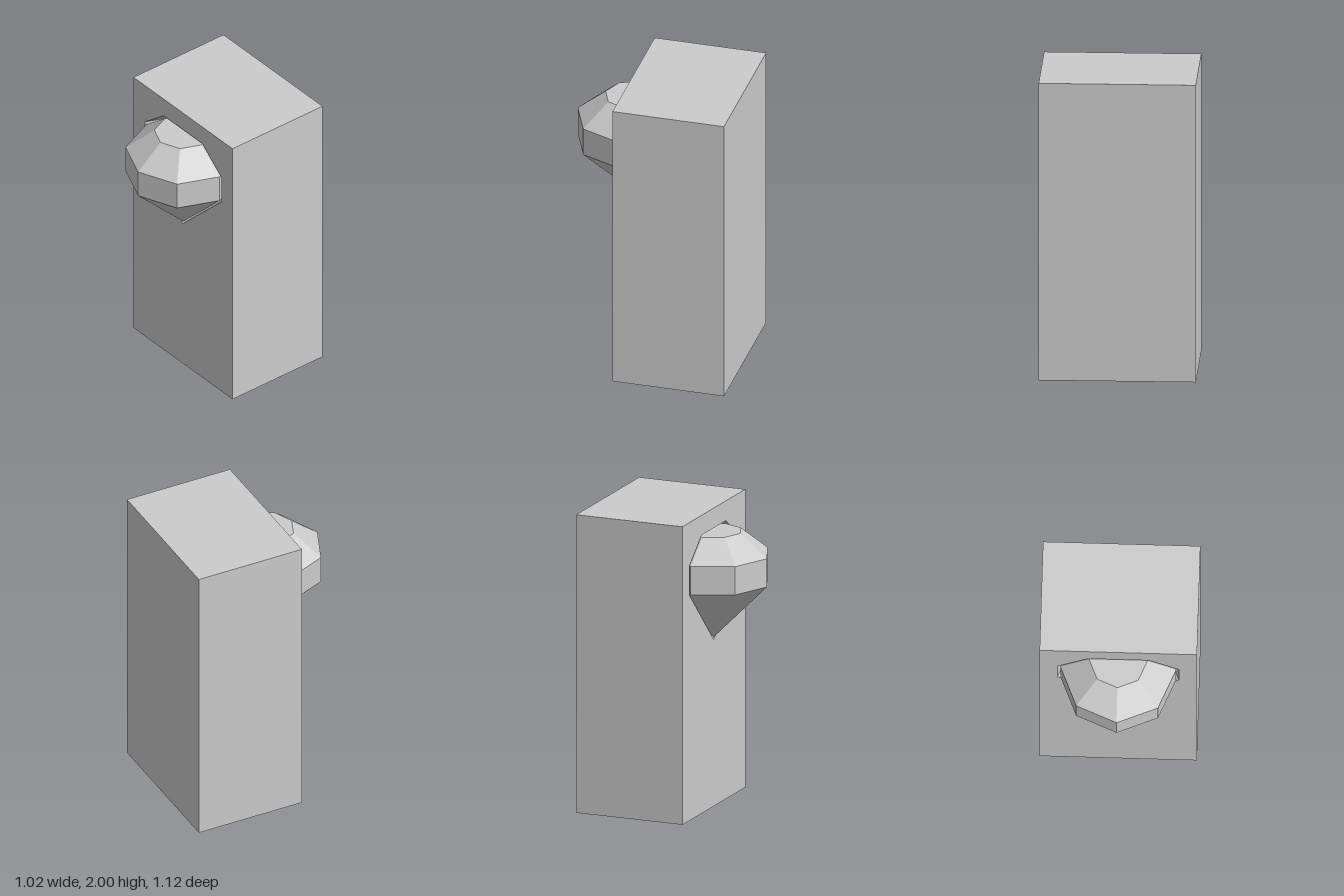
import * as THREE from 'three';

const W = 1.02, H = 2, D = 0.75;
const FRONT = 0.187;   // z of the block's front face
const GIRDLE = 1.51;   // height of the gem's lower girdle edge

// Half profile of the gem from tip to table, scaled about the girdle
const gemProfile = (s) => [[0, -0.375], [0.375, 0], [0.375, 0.19], [0.188, 0.34], [0, 0.34]]
  .map(([r, y]) => new THREE.Vector2(r * s, GIRDLE + y * s));

export function createModel() {
  const group = new THREE.Group();
  const mat = new THREE.MeshStandardMaterial({ color: 0xcccccc, flatShading: true });
  const add = (name, geometry, z = 0, parent = group) => {
    const mesh = new THREE.Mesh(geometry, mat);
    mesh.name = name;
    mesh.position.z = z;
    parent.add(mesh);
    return mesh;
  };

  const block = new THREE.Group();
  block.name = 'block';
  group.add(block);

  // Block without its front face (indices 24 to 29 of a box)
  const box = new THREE.BoxGeometry(W, H, D).translate(0, H / 2, 0);
  box.setIndex(Array.from(box.index.array).filter((_, i) => i < 24 || i > 29));
  box.clearGroups();
  add('blockSides', box, FRONT - D / 2, block);

  // Front face with an opening that follows the recess outline
  const recess = gemProfile(1.05);
  const face = new THREE.Shape([[-1, 0], [1, 0], [1, 1], [-1, 1]]
    .map(([x, y]) => new THREE.Vector2(x * W / 2, y * H)));
  const right = recess.slice(0, 4);
  const left = right.slice(1).reverse().map((p) => new THREE.Vector2(-p.x, p.y));
  face.holes.push(new THREE.Path([...right, ...left]));
  add('blockFront', new THREE.ShapeGeometry(face), FRONT, block);

  // Recess: rear half of a slightly larger gem, profile reversed to face inward
  add('recess', new THREE.LatheGeometry([...recess].reverse(), 4, Math.PI / 2, Math.PI), FRONT, block);

  // Eight-sided gem set halfway into the recess
  add('gem', new THREE.LatheGeometry(gemProfile(1), 8), FRONT);

  return group;
}
